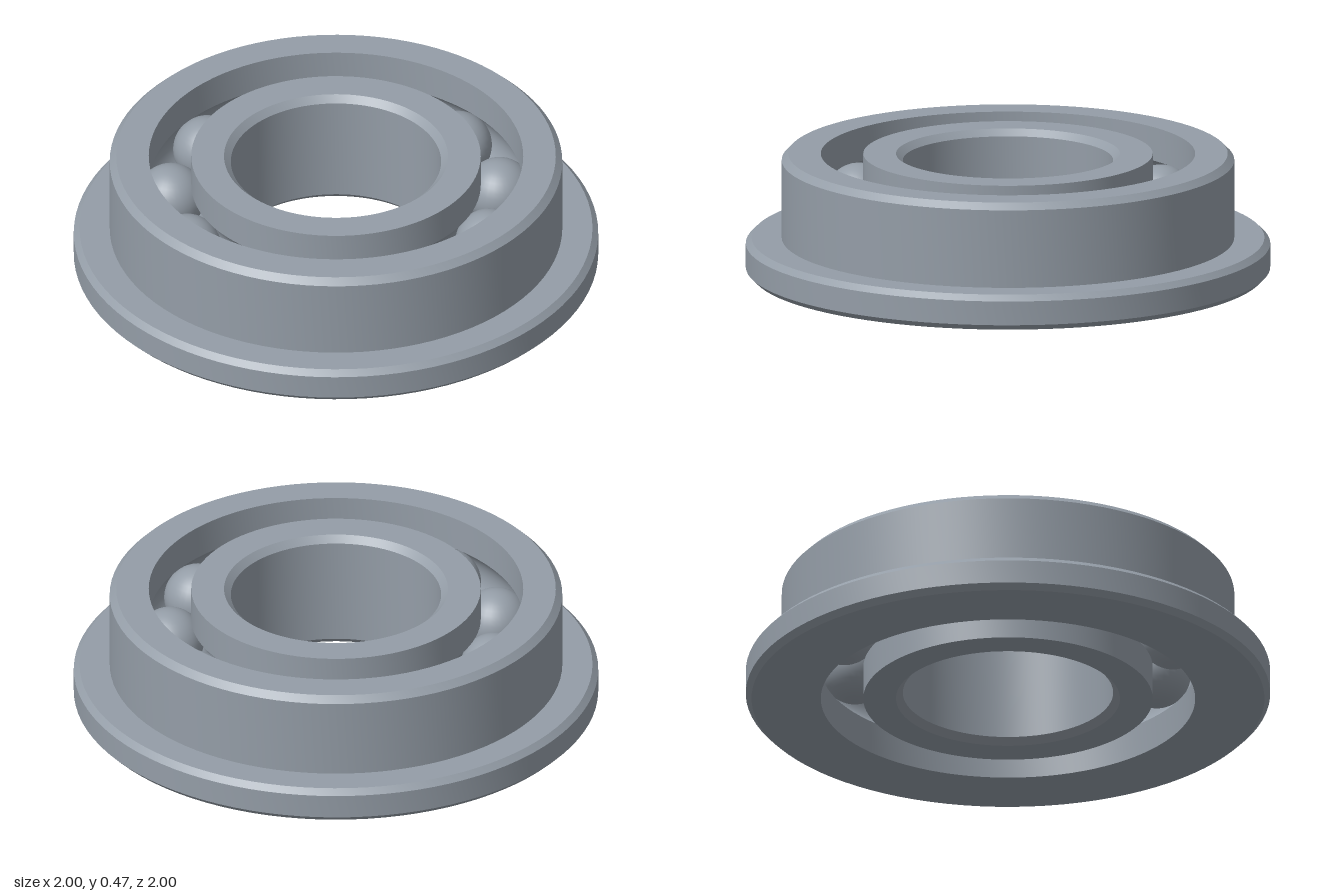
import * as THREE from 'three';
import { toCreasedNormals } from 'three/addons/utils/BufferGeometryUtils.js';

const HEIGHT = 0.465, MID = HEIGHT / 2;
const PITCH = 0.633, BALL = 0.13, BALLS = 11;
const INNER_RACE = 0.552, OUTER_RACE = 0.714;

// Rounded ball groove, as profile points between two angles
function groove(from, to, steps = 12) {
  return Array.from({ length: steps + 1 }, (_, i) => {
    const a = from + ((to - from) * i) / steps;
    return [PITCH + BALL * Math.cos(a), MID + BALL * Math.sin(a)];
  });
}

// Closed ring turned from an [radius, y] profile, with sharp edges kept
function ring(name, profile, material) {
  const points = [...profile, profile[0]].map(([r, y]) => new THREE.Vector2(r, y));
  const geometry = toCreasedNormals(new THREE.LatheGeometry(points, 96), Math.PI / 6);
  const mesh = new THREE.Mesh(geometry, material);
  mesh.name = name;
  return mesh;
}

export function createModel() {
  const model = new THREE.Group();
  model.name = 'flangedBallBearing';
  const steel = new THREE.MeshStandardMaterial({ color: 0x949da7 });
  steel.name = 'steel';

  // Outer ring with flange, chamfered edges and inward-facing groove
  const outerAngle = Math.acos((OUTER_RACE - PITCH) / BALL);
  model.add(ring('outerRing', [
    [OUTER_RACE, 0], [0.978, 0], [1, 0.022], [1, 0.115], [0.978, 0.137],
    [0.863, 0.137], [0.863, 0.44], [0.838, HEIGHT], [OUTER_RACE, HEIGHT],
    ...groove(outerAngle, -outerAngle),
  ], steel));

  // Inner ring with chamfered bore and outward-facing groove
  const innerAngle = Math.acos((PITCH - INNER_RACE) / BALL);
  model.add(ring('innerRing', [
    [0.427, 0], [INNER_RACE, 0],
    ...groove(Math.PI + innerAngle, Math.PI - innerAngle),
    [INNER_RACE, HEIGHT], [0.427, HEIGHT], [0.401, 0.44], [0.401, 0.025],
  ], steel));

  // Balls spaced evenly around the race
  const balls = new THREE.Group();
  balls.name = 'balls';
  const ballGeometry = new THREE.SphereGeometry(BALL, 32, 20);
  for (let i = 0; i < BALLS; i++) {
    const a = -1.504 + (i * 2 * Math.PI) / BALLS;
    const ball = new THREE.Mesh(ballGeometry, steel);
    ball.name = 'ball' + (i + 1);
    ball.position.set(PITCH * Math.cos(a), MID, PITCH * Math.sin(a));
    balls.add(ball);
  }
  model.add(balls);
  return model;
}
